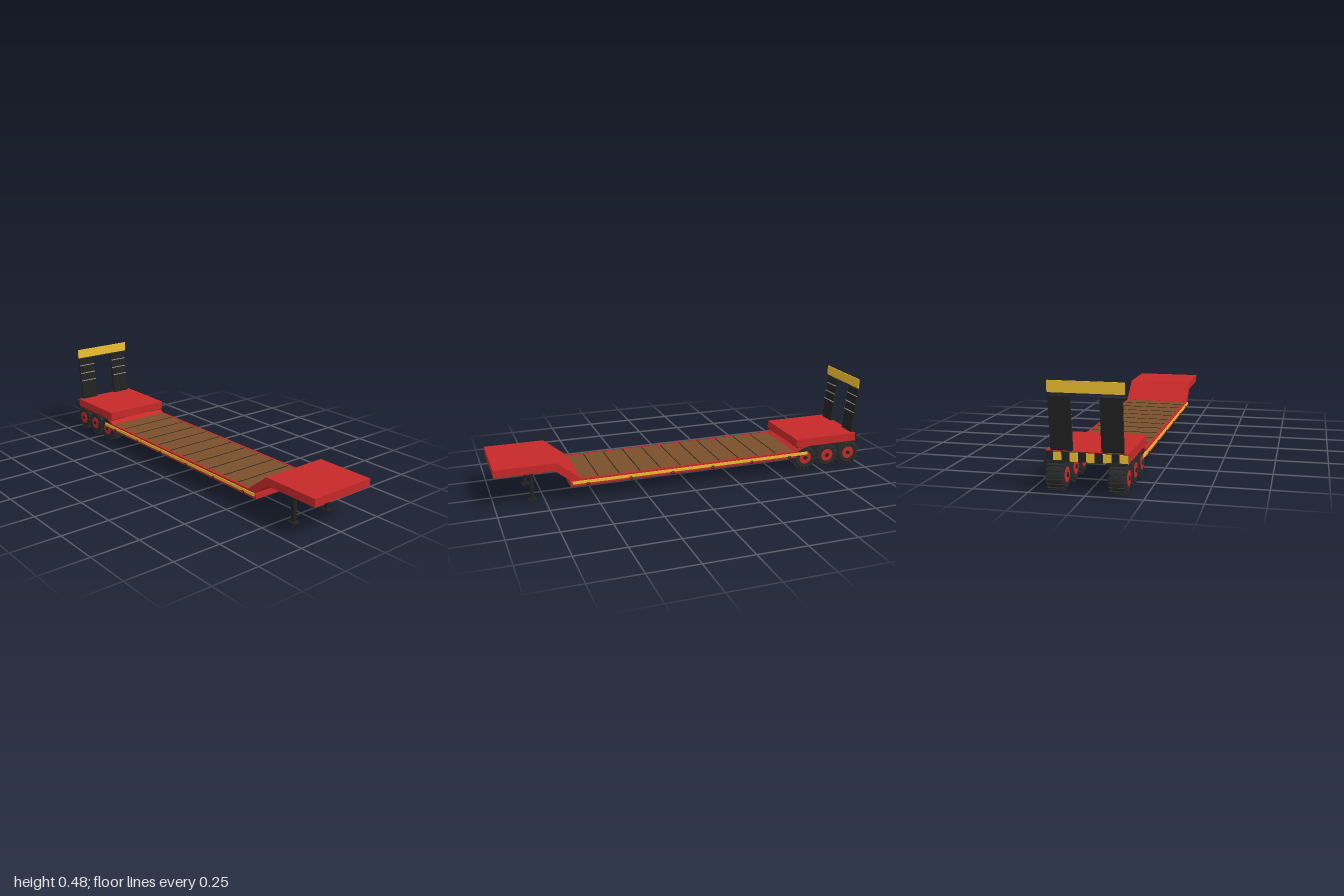
import * as THREE from 'three';
import { mergeGeometries } from 'three/addons/utils/BufferGeometryUtils.js';

const mat = (color) => new THREE.MeshStandardMaterial({ color, side: THREE.DoubleSide });

export function createModel() {
  const model = new THREE.Group();
  const red = mat(0xc62828), wood = mat(0x7a4f2b), yellow = mat(0xf0c030);
  const black = mat(0x222222), tyreMat = mat(0x2a2a2a), steel = mat(0x9a9a9a);

  const add = (name, geo, material, parent = model) => {
    const mesh = new THREE.Mesh(geo, material);
    mesh.name = name;
    parent.add(mesh);
    return mesh;
  };
  // Box given by its limits on each axis
  const box = (name, x0, x1, y0, y1, z0, z1, material, parent) => {
    const mesh = add(name, new THREE.BoxGeometry(x1 - x0, y1 - y0, z1 - z0), material, parent);
    mesh.position.set((x0 + x1) / 2, (y0 + y1) / 2, (z0 + z1) / 2);
    return mesh;
  };
  // Side profile of [z, y] points extruded across the width
  const slab = (name, points, halfWidth, material) => {
    const shape = new THREE.Shape(points.map(([z, y]) => new THREE.Vector2(-z, y)));
    const geo = new THREE.ExtrudeGeometry(shape, { depth: halfWidth * 2, bevelEnabled: false });
    geo.translate(0, 0, -halfWidth).rotateY(Math.PI / 2);
    return add(name, geo, material);
  };

  // Gooseneck: flat nose and slope down to the deck
  slab('gooseneck', [[1, 0.172], [1, 0.212], [0.695, 0.212], [0.575, 0.115],
    [0.575, 0.1], [0.62, 0.105], [0.705, 0.172]], 0.18, red);
  const kingpin = add('kingpin', new THREE.CylinderGeometry(0.008, 0.008, 0.018, 16), steel);
  kingpin.position.set(0, 0.164, 0.935);

  // Low deck with timber planks
  box('deckFrame', -0.18, 0.18, 0.079, 0.106, -0.61, 0.63, red);
  box('deckTimber', -0.168, 0.168, 0.104, 0.114, -0.6, 0.58, wood);
  for (let i = 0; i < 10; i++) {
    const z = -0.49 + i * 0.1085;
    box('plankGap', -0.166, 0.166, 0.112, 0.1155, z - 0.002, z + 0.002, black);
  }

  // Rear bogie body and the short ramp up to it
  slab('rearSlope', [[-0.595, 0.1], [-0.595, 0.113], [-0.64, 0.138], [-0.68, 0.138], [-0.64, 0.125]], 0.18, red);
  box('rearBody', -0.18, 0.18, 0.137, 0.181, -0.968, -0.607, red);

  // Striped rear bumper
  box('rearBumper', -0.18, 0.18, 0.137, 0.179, -0.974, -0.966, black);
  for (let i = 0; i < 5; i++) {
    const x = 0.126 - i * 0.072;
    box('bumperStripe', x - 0.018, x + 0.018, 0.138, 0.178, -0.976, -0.973, yellow);
  }

  // Wheel geometry, axle along x
  const lathe = (pts, n) => new THREE.LatheGeometry(pts.map(([r, y]) => new THREE.Vector2(r, y)), n)
    .rotateZ(-Math.PI / 2);
  const tyreGeo = lathe([[0.032, -0.037], [0.055, -0.038], [0.062, -0.032],
    [0.065, -0.018], [0.065, 0.018], [0.062, 0.032], [0.055, 0.038], [0.032, 0.037]], 32).toNonIndexed();
  tyreGeo.computeVertexNormals();
  const treads = [];
  for (let i = 0; i < 18; i++) {
    treads.push(new THREE.BoxGeometry(0.07, 0.009, 0.011)
      .translate(0, 0.065, 0).rotateX((i / 18) * Math.PI * 2));
  }
  const treadGeo = mergeGeometries(treads);
  const hubGeo = new THREE.CylinderGeometry(0.034, 0.034, 0.079, 24).rotateZ(Math.PI / 2);
  const capGeo = new THREE.CylinderGeometry(0.011, 0.011, 0.085, 12).rotateZ(Math.PI / 2);

  for (const s of [-1, 1]) {
    const side = s > 0 ? 'left' : 'right';
    const sided = (name, xa, xb, ...rest) =>
      box(side + name, Math.min(s * xa, s * xb), Math.max(s * xa, s * xb), ...rest);

    // Three axles of wheels under a flat mudguard
    for (const z of [-0.667, -0.8, -0.931]) {
      const wheel = new THREE.Group();
      wheel.name = side + 'Wheel';
      wheel.position.set(s * 0.135, 0.0695, z);
      add('tyre', tyreGeo, tyreMat, wheel);
      add('tread', treadGeo, tyreMat, wheel);
      add('hub', hubGeo, red, wheel);
      add('hubCap', capGeo, black, wheel);
      model.add(wheel);
    }
    sided('Mudguard', 0.09, 0.178, 0.134, 0.142, -0.996, -0.61, black);

    // Deck edge rail, marker strip and tie-down rings
    sided('DeckRail', 0.168, 0.18, 0.1, 0.115, -0.607, 0.6, red);
    sided('MarkerStrip', 0.178, 0.184, 0.091, 0.106, -0.675, 0.62, yellow);
    for (let i = 0; i < 6; i++) {
      const ring = add(side + 'TieDown', new THREE.TorusGeometry(0.007, 0.002, 6, 14), black);
      ring.rotation.y = Math.PI / 2;
      ring.position.set(s * 0.185, 0.088, 0.543 - i * 0.2215);
    }

    // Landing leg and foot
    sided('LandingLeg', 0.102, 0.12, 0.012, 0.173, 0.802, 0.82, black);
    sided('LandingFoot', 0.09, 0.132, 0.005, 0.015, 0.791, 0.831, black);

    // Raised loading ramp, leaning slightly back, with grip bars
    const ramp = new THREE.Group();
    ramp.name = side + 'LoadingRamp';
    ramp.position.set(s * 0.111, 0.16, -0.954);
    ramp.rotation.x = -0.115;
    box('rampPlate', -0.048, 0.048, 0, 0.261, -0.007, 0.007, black, ramp);
    for (const y of [0.131, 0.177, 0.224]) {
      box('rampGrip', -0.048, 0.048, y - 0.002, y + 0.002, 0.006, 0.012, steel, ramp);
    }
    model.add(ramp);
  }

  // Warning board above the ramps
  box('warningBoard', -0.167, 0.167, 0.43, 0.481, -0.977, -0.972, yellow);

  return model;
}
